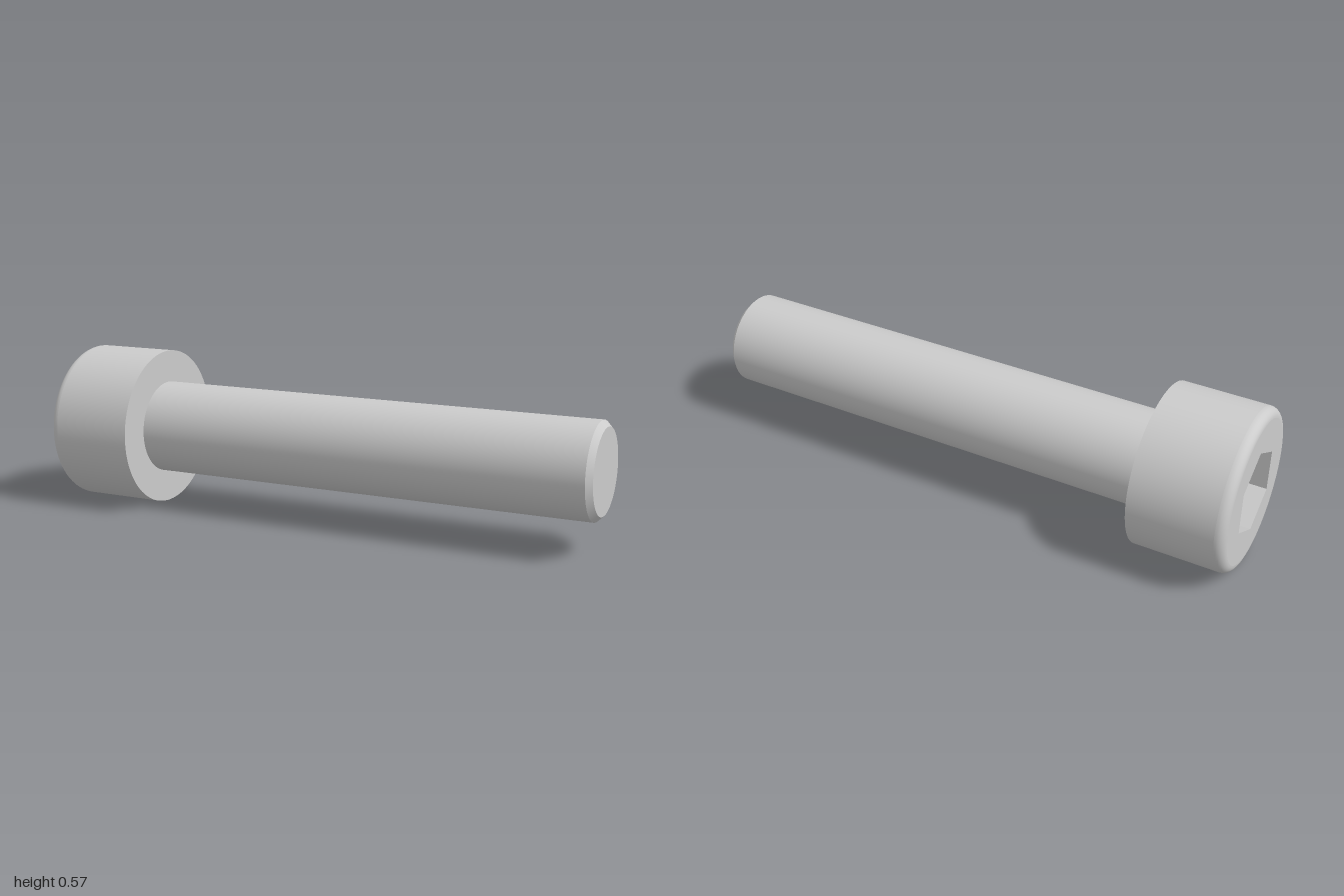
import * as THREE from 'three';

const SEG = 96;
const HEAD_R = 0.2833, SHANK_R = 0.1667;
const HEAD_START = -1, HEAD_END = -0.6667, TIP = 1;
const FILLET = 0.0333, CHAMFER = 0.02;
const HEX_R = 0.1333 / Math.cos(Math.PI / 6), HEX_DEPTH = 0.1667;

export function createModel() {
  const material = new THREE.MeshStandardMaterial({ color: 0xcccccc });
  const screw = new THREE.Group();
  screw.name = 'socketScrew';

  // parts are modelled along local y, from head (-1) to tip (+1)
  const add = (parent, name, geometry, y = 0) => {
    const mesh = new THREE.Mesh(geometry, material);
    mesh.name = name;
    mesh.position.y = y;
    parent.add(mesh);
  };
  const turned = (...points) =>
    new THREE.LatheGeometry(points.map(([r, y]) => new THREE.Vector2(r, y)), SEG);
  const ring = (radius, n) => Array.from({ length: n }, (_, i) => {
    const a = (i / n) * Math.PI * 2;
    return new THREE.Vector2(radius * Math.cos(a), radius * Math.sin(a));
  });

  // head: rounded outer rim, straight side, flat underside
  const head = new THREE.Group();
  head.name = 'head';
  const side = [];
  for (let i = 0; i <= 8; i++) {
    const a = (i / 8) * Math.PI / 2;
    side.push([HEAD_R - FILLET * (1 - Math.sin(a)), HEAD_START + FILLET * (1 - Math.cos(a))]);
  }
  add(head, 'headRim', turned(...side));
  add(head, 'headSide', turned([HEAD_R, HEAD_START + FILLET], [HEAD_R, HEAD_END]));
  add(head, 'headUnderside', turned([HEAD_R, HEAD_END], [SHANK_R, HEAD_END]));

  // end face with the hexagonal opening
  const face = new THREE.Shape(ring(HEAD_R - FILLET, SEG));
  face.holes.push(new THREE.Path(ring(HEX_R, 6).reverse()));
  add(head, 'headFace', new THREE.ShapeGeometry(face).rotateX(Math.PI / 2), HEAD_START);

  // hexagonal socket: inward-facing walls and a flat floor
  const walls = new THREE.CylinderGeometry(HEX_R, HEX_R, HEX_DEPTH, 6, 1, true)
    .rotateY(Math.PI / 6).scale(-1, 1, 1).toNonIndexed();
  walls.computeVertexNormals();
  add(head, 'socketWalls', walls, HEAD_START + HEX_DEPTH / 2);
  add(head, 'socketFloor', new THREE.CircleGeometry(HEX_R, 6).rotateX(Math.PI / 2), HEAD_START + HEX_DEPTH);

  // shank with a chamfered tip
  const shank = new THREE.Group();
  shank.name = 'shank';
  add(shank, 'shankSide', turned([SHANK_R, HEAD_END], [SHANK_R, TIP - CHAMFER]));
  add(shank, 'tipChamfer', turned([SHANK_R, TIP - CHAMFER], [SHANK_R - CHAMFER, TIP]));
  add(shank, 'tipFace', new THREE.CircleGeometry(SHANK_R - CHAMFER, SEG).rotateX(-Math.PI / 2), TIP);

  // lay the screw along x, resting on the head
  screw.add(head, shank);
  screw.rotation.z = -Math.PI / 2;
  screw.position.y = HEAD_R;
  const model = new THREE.Group();
  model.add(screw);
  return model;
}
